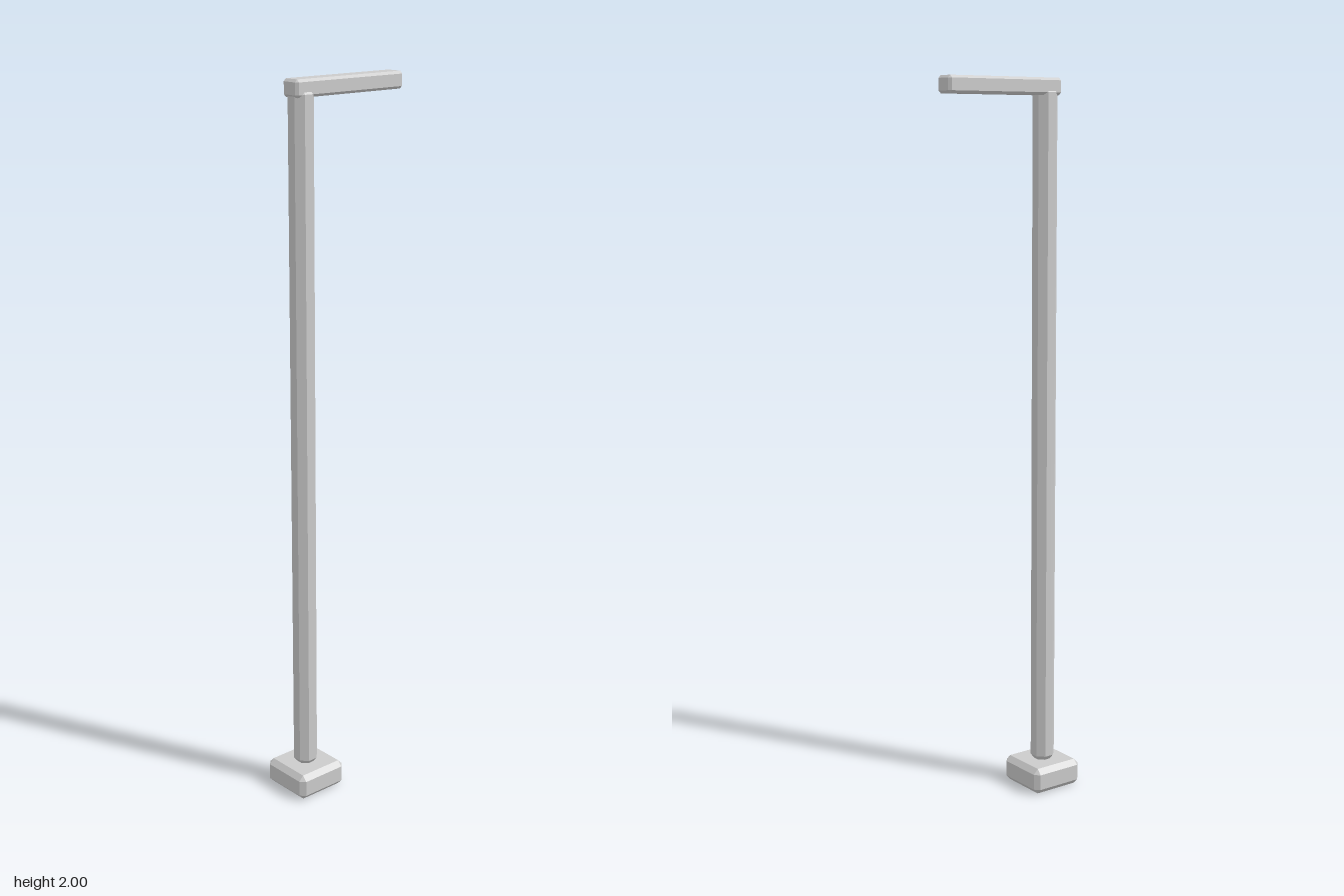
import * as THREE from 'three';
import { ConvexGeometry } from 'three/addons/geometries/ConvexGeometry.js';

const material = new THREE.MeshStandardMaterial({ color: 0xcccccc, flatShading: true });

// Box with every edge and corner cut by a flat bevel
function bevelledBox(name, size, bevel, position) {
  const points = [];
  for (const sx of [-1, 1]) for (const sy of [-1, 1]) for (const sz of [-1, 1]) {
    for (let axis = 0; axis < 3; axis++) {
      const inset = [0, 1, 2].map((i) => size[i] / 2 - (i === axis ? 0 : bevel));
      points.push(new THREE.Vector3(sx * inset[0], sy * inset[1], sz * inset[2]));
    }
  }
  const mesh = new THREE.Mesh(new ConvexGeometry(points), material);
  mesh.name = name;
  mesh.position.set(...position);
  return mesh;
}

export function createModel() {
  const group = new THREE.Group();
  group.name = 'lampPost';
  const poleX = -0.126;

  // Square foot
  group.add(bevelledBox('base', [0.16, 0.07, 0.16], 0.014, [-0.125, 0.037, 0]));
  group.children[0].scale.y = 0.074 / 0.07;

  // Eight-sided pole with bevelled ends, flats facing front and sides
  const r = 0.032 / Math.cos(Math.PI / 8);
  const profile = [[0, 0.073], [r - 0.011, 0.073], [r, 0.087], [r, 1.962], [r - 0.011, 1.976], [0, 1.976]]
    .map(([x, y]) => new THREE.Vector2(x, y));
  const pole = new THREE.Mesh(new THREE.LatheGeometry(profile, 8, Math.PI / 8), material);
  pole.name = 'pole';
  pole.position.x = poleX;
  group.add(pole);

  // Horizontal arm reaching out from the pole top
  group.add(bevelledBox('arm', [0.367, 0.046, 0.058], 0.007, [0.0215, 1.977, -0.001]));
  return group;
}
